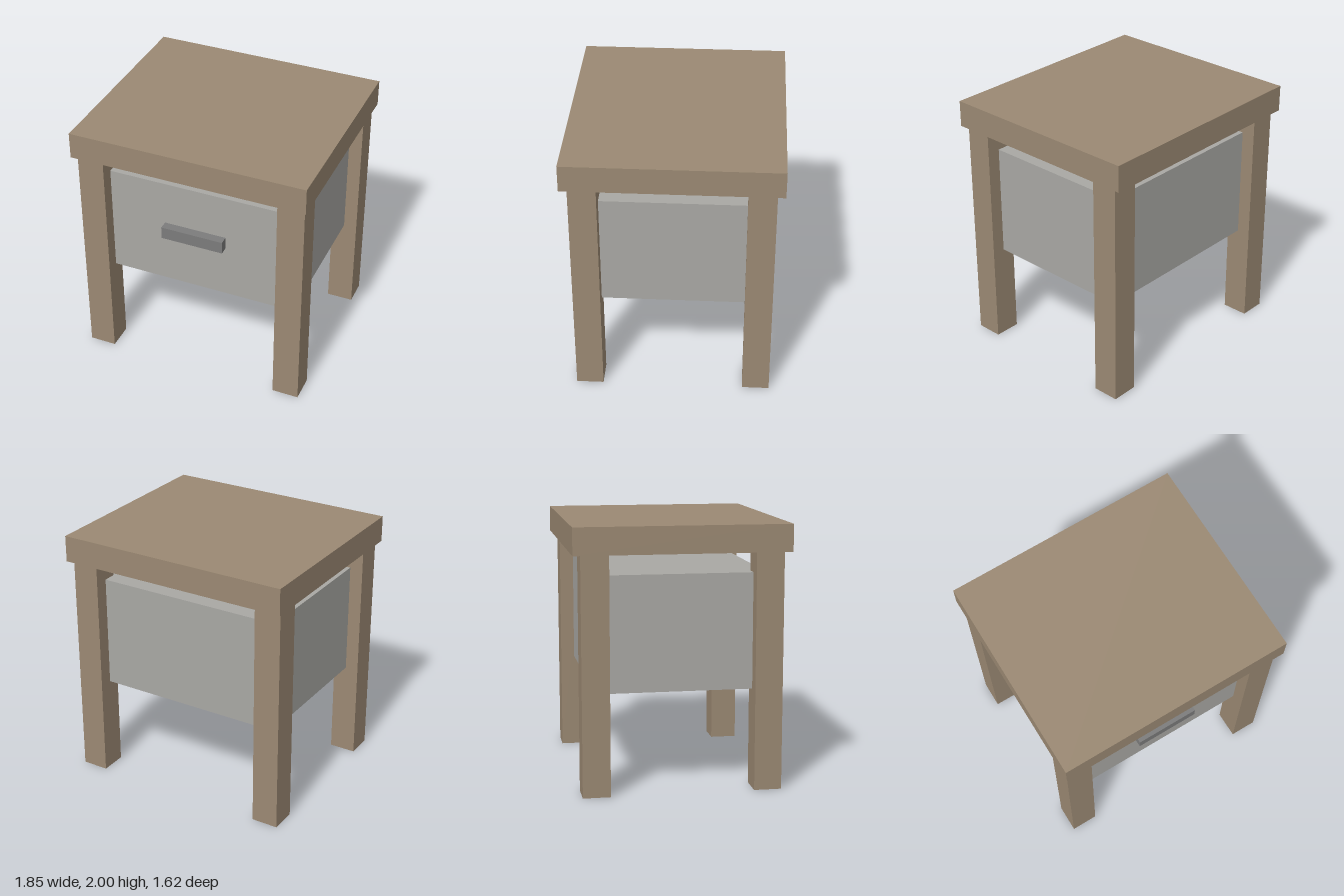
import * as THREE from 'three';

export function createModel() {
  const group = new THREE.Group();
  const wood = new THREE.MeshStandardMaterial({ color: 0x9b8973 });
  const panel = new THREE.MeshStandardMaterial({ color: 0xa9a8a4 });
  const metal = new THREE.MeshStandardMaterial({ color: 0x7c7c7c });

  // Box of the given size, standing on height y
  function addBox(name, material, [w, h, d], [x, y, z]) {
    const mesh = new THREE.Mesh(new THREE.BoxGeometry(w, h, d), material);
    mesh.name = name;
    mesh.position.set(x, y + h / 2, z);
    group.add(mesh);
  }

  // Thick overhanging top
  addBox('tableTop', wood, [1.85, 0.205, 1.615], [0, 1.795, 0]);

  // Four square legs
  for (const [sideName, sx] of [['Left', 1], ['Right', -1]]) {
    for (const [endName, sz] of [['front', 1], ['back', -1]]) {
      addBox(`${endName}${sideName}Leg`, wood, [0.208, 1.795, 0.208], [sx * 0.795, 0, sz * 0.646]);
    }
  }

  // Drawer case, its corners let into the legs
  addBox('drawerCase', panel, [1.59, 0.878, 1.285], [0, 0.757, 0]);

  // Bar handle on the drawer front
  addBox('drawerHandle', metal, [0.495, 0.097, 0.07], [0, 1.185, 0.677]);

  return group;
}
